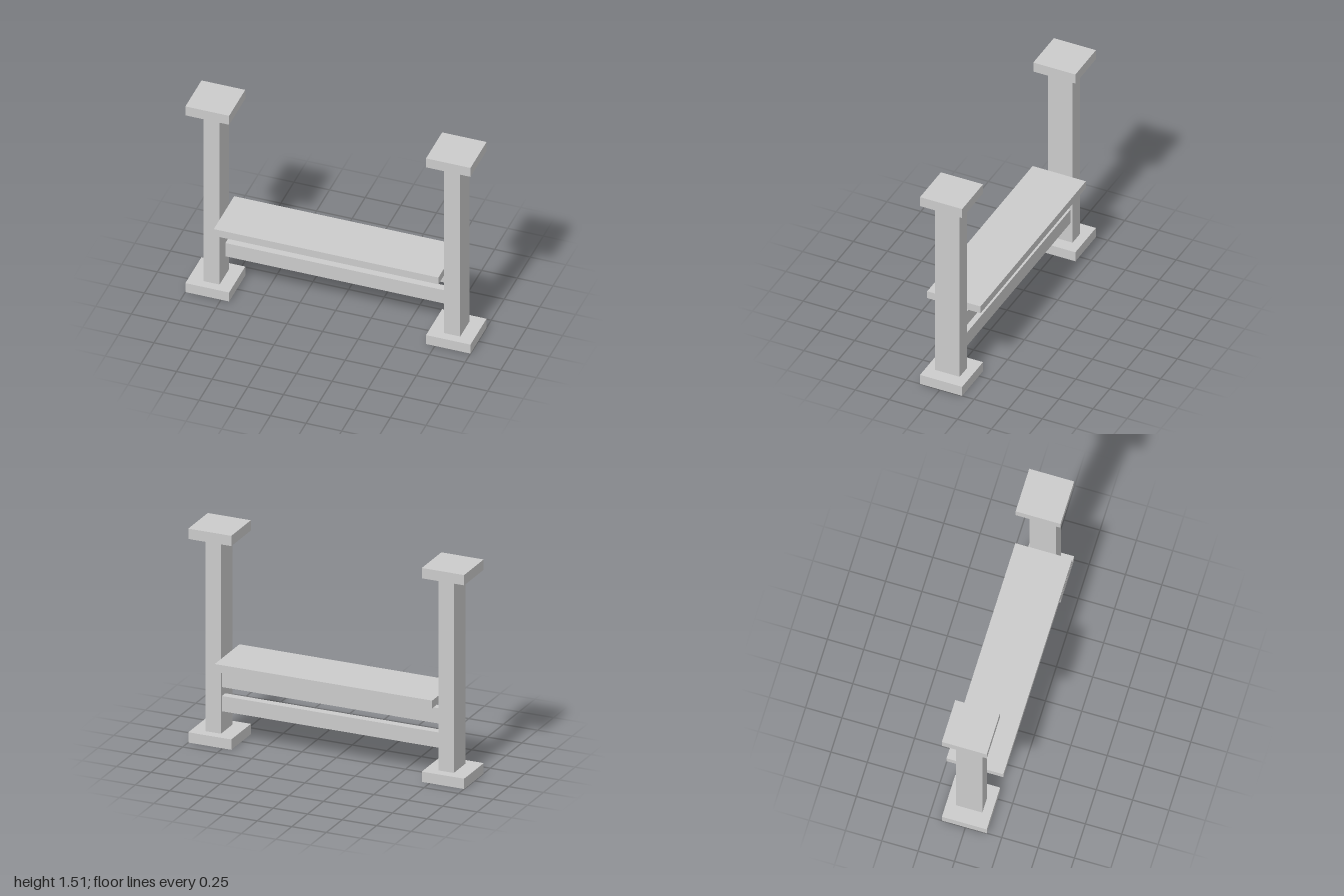
import * as THREE from 'three';

export function createModel() {
  const model = new THREE.Group();
  const material = new THREE.MeshStandardMaterial({ color: 0xcccccc, flatShading: true });

  // Box given by its min/max extents on each axis
  function box(name, [x0, x1], [y0, y1], [z0, z1], parent = model) {
    const mesh = new THREE.Mesh(new THREE.BoxGeometry(x1 - x0, y1 - y0, z1 - z0), material);
    mesh.position.set((x0 + x1) / 2, (y0 + y1) / 2, (z0 + z1) / 2);
    mesh.name = name;
    parent.add(mesh);
  }

  // End supports: post between a base plate and a matching cap plate
  const supports = [
    { side: 'right', plate: [-1, -0.693], post: [-0.895, -0.783] },
    { side: 'left', plate: [0.688, 1], post: [0.793, 0.905] },
  ];
  for (const { side, plate, post } of supports) {
    const support = new THREE.Group();
    support.name = `${side}Support`;
    box('basePlate', plate, [0, 0.073], [-0.162, 0.147], support);
    box('post', post, [0.073, 1.442], [-0.097, 0.085], support);
    box('capPlate', plate, [1.442, 1.515], [-0.162, 0.147], support);
    model.add(support);
  }

  // Seat board and the two rails below it, spanning between the posts
  const span = [-0.783, 0.793];
  box('seat', span, [0.547, 0.602], [-0.195, 0.196]);
  box('upperRail', span, [0.398, 0.506], [-0.081, -0.027]);
  box('lowerRail', span, [0.227, 0.335], [-0.081, -0.027]);

  return model;
}
